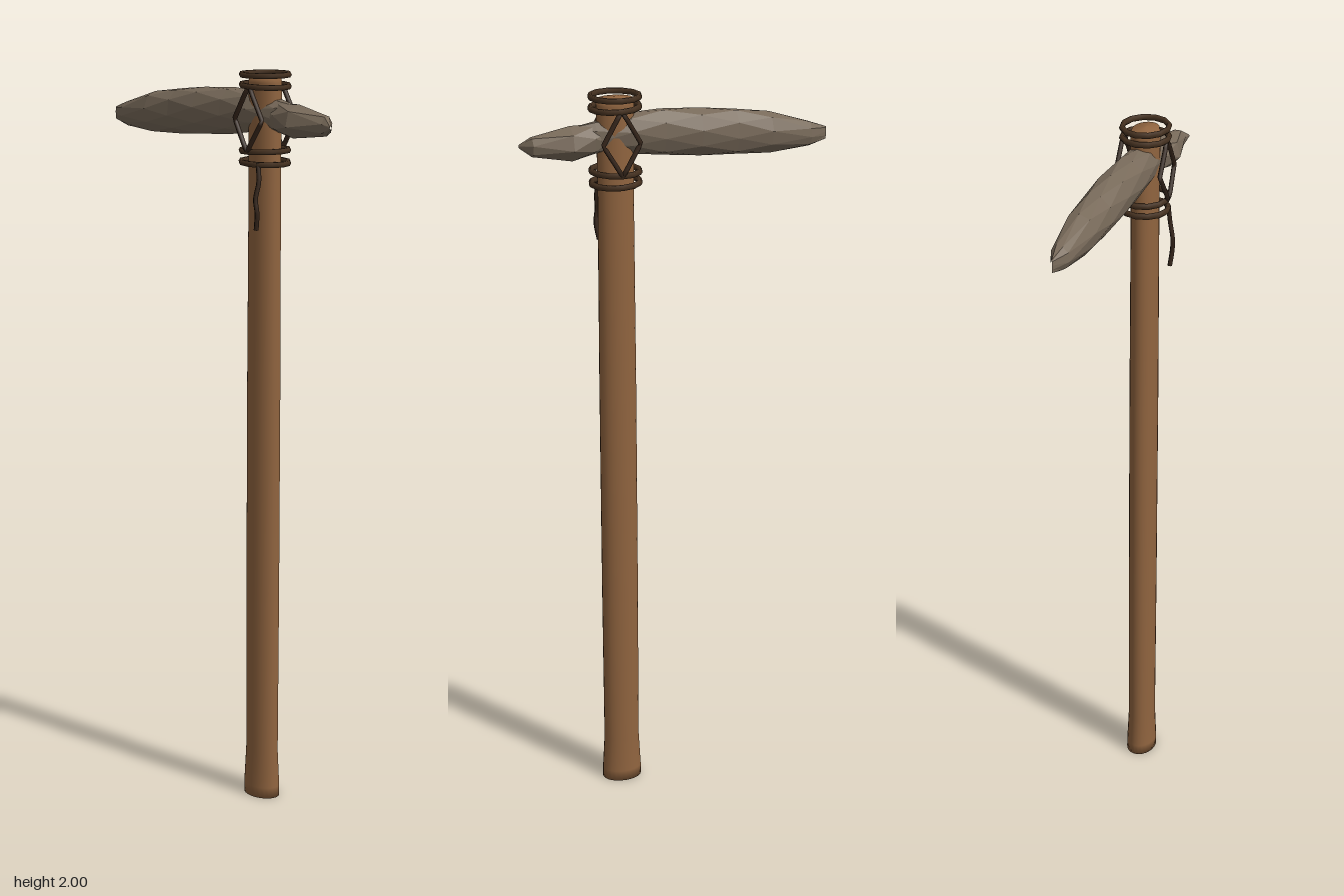
import * as THREE from 'three';

const CX = 0.164; // handle axis

const material = (name, color, extra = {}) => {
  const m = new THREE.MeshStandardMaterial({ color, ...extra });
  m.name = name;
  return m;
};

// Faceted stone from cross-sections [x, yTop, yBottom, halfDepth, zCentre], with staggered rings
function chippedStone(sections, sides) {
  const pos = [], idx = [];
  sections.forEach(([x, top, bottom, depth, zc = 0], i) => {
    for (let j = 0; j < sides; j++) {
      const a = ((j + (i % 2) * 0.5) / sides) * Math.PI * 2;
      const chip = 1 - 0.05 * ((i * 3 + j * 5) % 3 === 0 ? 1 : 0);
      pos.push(x, (top + bottom) / 2 + Math.cos(a) * chip * (top - bottom) / 2, zc + Math.sin(a) * chip * depth);
    }
  });
  const n = sections.length;
  for (let i = 0; i < n - 1; i++) {
    for (let j = 0; j < sides; j++) {
      const k = (j + 1) % sides, a = i * sides, b = a + sides;
      if (i % 2) idx.push(a + j, a + k, b + k, a + j, b + k, b + j);
      else idx.push(a + j, a + k, b + j, a + k, b + k, b + j);
    }
  }
  for (let j = 1; j < sides - 1; j++) {
    const e = (n - 1) * sides;
    idx.push(0, j, j + 1, e, e + j + 1, e + j);
  }
  const g = new THREE.BufferGeometry();
  g.setAttribute('position', new THREE.Float32BufferAttribute(pos, 3));
  g.setIndex(idx);
  const flat = g.toNonIndexed();
  flat.computeVertexNormals();
  return flat;
}

export function createModel() {
  const model = new THREE.Group();
  model.name = 'stonePick';
  const wood = material('wood', 0x90643f);
  const stone = material('stone', 0x786a5a, { flatShading: true });
  const cord = material('cord', 0x44301f);

  const add = (name, geometry, mat, parent = model) => {
    const mesh = new THREE.Mesh(geometry, mat);
    mesh.name = name;
    parent.add(mesh);
    return mesh;
  };

  // Oval handle with a flared foot
  const profile = [[0, 0], [0.056, 0], [0.0555, 0.03], [0.05, 0.13], [0.051, 0.6], [0.0505, 1.2],
    [0.048, 1.75], [0.05, 1.97], [0.046, 1.985], [0, 1.99]].map(([r, y]) => new THREE.Vector2(r, y));
  const handle = new THREE.LatheGeometry(profile, 24);
  handle.scale(1, 1, 0.74);
  add('handle', handle, wood).position.x = CX;

  // Long blade running through the handle
  add('stoneBlade', chippedStone([
    [-0.418, 1.865, 1.83, 0.002],
    [-0.37, 1.884, 1.816, 0.026],
    [-0.255, 1.921, 1.807, 0.045],
    [-0.16, 1.935, 1.811, 0.048],
    [-0.06, 1.946, 1.816, 0.051],
    [0.04, 1.951, 1.826, 0.049],
    [0.13, 1.947, 1.837, 0.044],
    [0.22, 1.93, 1.845, 0.03],
    [0.29, 1.915, 1.9, 0.002],
  ], 9), stone);

  // Short rear point
  add('stoneRearPoint', chippedStone([
    [0.19, 1.915, 1.85, 0.025],
    [0.225, 1.924, 1.84, 0.036],
    [0.285, 1.924, 1.83, 0.05],
    [0.385, 1.902, 1.847, 0.021, 0.002],
    [0.415, 1.878, 1.87, 0.003, 0.02],
  ], 7), stone);

  // Cord rings above and below the stone
  const rings = new THREE.Group();
  rings.name = 'cordRings';
  model.add(rings);
  [[1.99, 0.01], [1.962, -0.03], [1.795, 0.03], [1.764, -0.02]].forEach(([y, tilt], i) => {
    const g = new THREE.TorusGeometry(0.064, 0.008, 6, 12);
    g.rotateX(Math.PI / 2);
    g.scale(1, 1, 0.95);
    const ring = add('cordRing' + (i + 1), g, cord, rings);
    ring.position.set(CX, y, 0);
    ring.rotation.z = tilt;
  });

  // Diamond lashings on front and back
  const strand = (points, radius) => {
    const path = new THREE.CurvePath();
    for (let i = 0; i < points.length - 1; i++) path.add(new THREE.LineCurve3(points[i], points[i + 1]));
    return new THREE.TubeGeometry(path, (points.length - 1) * 4, radius, 6, false);
  };
  const tie = material('cordTie', 0x35251a, { side: THREE.DoubleSide });
  for (const s of [1, -1]) {
    const lashing = new THREE.Group();
    lashing.name = s > 0 ? 'frontLashing' : 'backLashing';
    model.add(lashing);
    for (const side of [1, -1]) {
      const points = [[0, 1.962, 0.056], [0.01 * side, 1.948, 0.061], [0.05 * side, 1.878, 0.061],
        [0.008 * side, 1.808, 0.066], [0, 1.795, 0.062]]
        .map(([x, y, z]) => new THREE.Vector3(CX + x, y, z * s));
      add('lashingStrand', strand(points, 0.0065), tie, lashing);
    }
  }

  // Loose cord end
  const loose = [[0.193, 1.768, 0.054], [0.199, 1.72, 0.057], [0.196, 1.675, 0.066], [0.2, 1.64, 0.064], [0.193, 1.595, 0.06]]
    .map(p => new THREE.Vector3(...p));
  add('looseCord', new THREE.TubeGeometry(new THREE.CatmullRomCurve3(loose), 16, 0.0065, 6, false), tie);

  return model;
}
